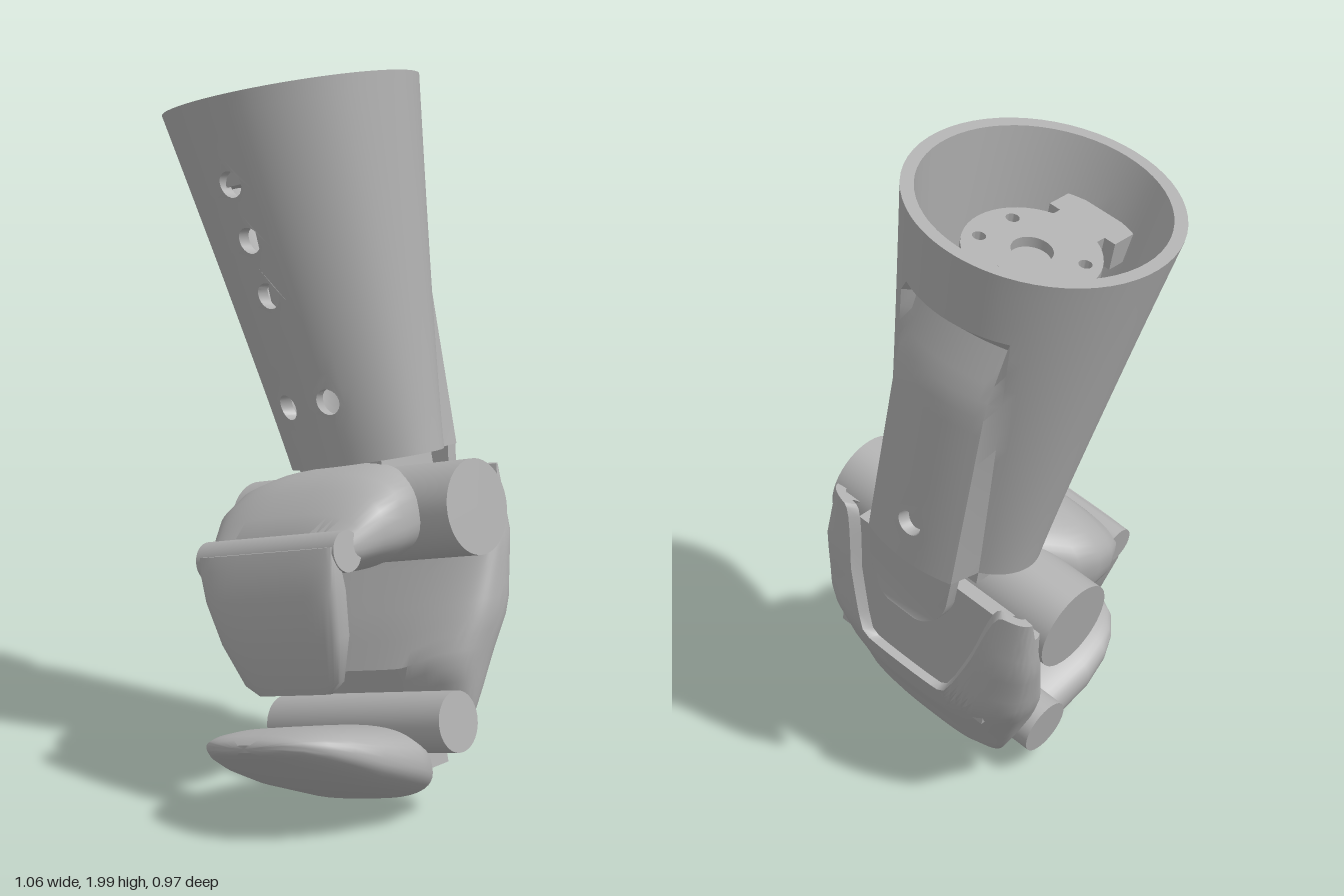
import * as THREE from 'three';
import { mergeGeometries, toCreasedNormals } from 'three/addons/utils/BufferGeometryUtils.js';

const grey = new THREE.MeshStandardMaterial({ color: 0xb0b0b0, side: THREE.DoubleSide });
grey.name = 'light grey plastic';

const TAU = Math.PI * 2;

// Surface from a rule point(row, column); cells can be skipped to leave windows
function grid(rows, cols, point, skip = () => false) {
  const pos = [], idx = [];
  for (let i = 0; i <= rows; i++) for (let j = 0; j <= cols; j++) pos.push(...point(i, j));
  for (let i = 0; i < rows; i++) for (let j = 0; j < cols; j++) {
    if (skip(i, j)) continue;
    const a = i * (cols + 1) + j, b = a + cols + 1;
    idx.push(a, b, a + 1, b, b + 1, a + 1);
  }
  const g = new THREE.BufferGeometry();
  g.setAttribute('position', new THREE.Float32BufferAttribute(pos, 3));
  g.setIndex(idx);
  return g.toNonIndexed();
}

function part(group, name, geometry, crease = 0.6) {
  const mesh = new THREE.Mesh(crease ? toCreasedNormals(geometry, crease) : geometry, grey);
  mesh.name = name;
  group.add(mesh);
  return mesh;
}

// Superellipse outline value
const se = (c, n) => Math.sign(c) * Math.pow(Math.abs(c), 2 / n);

// Solid through rounded sections [position, half width, low, high] along y or z
function loft(sections, axis, n, cx = 0) {
  const s = axis === 'z' ? [...sections].reverse() : sections;
  const rings = [[s[0][0], 0, ...Array(2).fill((s[0][2] + s[0][3]) / 2)], ...s];
  const e = s[s.length - 1];
  rings.push([e[0], 0, ...Array(2).fill((e[2] + e[3]) / 2)]);
  return grid(rings.length - 1, 48, (i, j) => {
    const [p, w, lo, hi] = rings[i], t = (j % 48) / 48 * TAU;
    const x = cx + w * se(Math.cos(t), n), q = (lo + hi) / 2 + (hi - lo) / 2 * se(Math.sin(t), n);
    return axis === 'z' ? [x, q, p] : [x, p, q];
  });
}

// Forearm sleeve: tapering oval wall with a flat pad, 12 columns wide, on the back
const H = 1.03, ROWS = 20, COLS = 64, WALL = 0.035, PAD = 6;
const radiusX = (v) => 0.24 + 0.12 * Math.pow(v / H, 1.15);
function sleevePoint(col, row, off) {
  const v = row * H / ROWS, t = v / H, rx = radiusX(v);
  const k = ((col + COLS) % COLS) - COLS / 2, n = Math.abs(k);
  const edge = Math.asin(0.15 / rx);
  const turn = n <= PAD ? n / PAD * edge : edge + (n - PAD) / (COLS / 2 - PAD) * (Math.PI - edge);
  const theta = Math.PI + Math.sign(k) * turn;
  const x = -(rx - off) * Math.sin(theta);
  let z = -0.2 + 0.075 * t + (0.175 + 0.185 * t - off) * Math.cos(theta);
  if (n <= PAD && v < 0.78) z = -0.445 + 0.25 * Math.max(0, v - 0.6) + 1.2 * x * x + off;
  return [x, v, z];
}

function sleeveGeometry() {
  // Screw holes as [column, row] centres
  const holes = [[0, 15.5], [0, 12.5], [0, 9.5], [3, 3.5], [-3, 3.5], [32, 2.5]];
  const skip = (i, j) => holes.some(([c, r]) => {
    const d = ((j + 0.5 - c + COLS * 1.5) % COLS) - COLS / 2;
    return Math.abs(d) < 2 && Math.abs(i + 0.5 - r) < 1.5;
  });
  const list = [
    grid(ROWS, COLS, (i, j) => sleevePoint(j, i, 0), skip),
    grid(ROWS, COLS, (i, j) => sleevePoint(j, ROWS - i, WALL), (i, j) => skip(ROWS - 1 - i, j)),
    grid(1, COLS, (i, j) => sleevePoint(j, ROWS, i * WALL)),
    grid(1, COLS, (i, j) => sleevePoint(j, 0, (1 - i) * WALL)),
  ];
  for (const [c, r] of holes) {
    const rRow = 0.036 * ROWS / H, rCol = 0.36 / radiusX(r * H / ROWS);
    // Window panel with a round hole, bent onto the wall
    const border = [];
    for (let k = -2; k < 2; k++) border.push([k, -1.5]);
    for (let k = -1.5; k < 1.5; k++) border.push([2, k]);
    for (let k = 2; k > -2; k--) border.push([k, 1.5]);
    for (let k = 1.5; k > -1.5; k--) border.push([-2, k]);
    const shape = new THREE.Shape(border.map(([a, b]) => new THREE.Vector2(a, b)));
    const hole = new THREE.Path();
    hole.absellipse(0, 0, rCol, rRow, 0, TAU, true);
    shape.holes.push(hole);
    for (const [off, sign] of [[0, -1], [WALL, 1]]) {
      const g = new THREE.ShapeGeometry(shape, 10).toNonIndexed();
      const p = g.attributes.position;
      for (let k = 0; k < p.count; k++)
        p.setXYZ(k, ...sleevePoint(c + sign * p.getX(k), r + p.getY(k), off));
      g.deleteAttribute('uv');
      g.deleteAttribute('normal');
      list.push(g);
    }
    list.push(grid(1, 20, (i, j) => sleevePoint(
      c + rCol * Math.cos(j / 20 * TAU), r + rRow * Math.sin(j / 20 * TAU), i * WALL)));
  }
  return mergeGeometries(list);
}

// Hollow palm shell with a wide notch in the back rim
function palmGeometry() {
  const S = [
    [-0.79, 0.17, -0.17, -0.12], [-0.76, 0.25, -0.19, -0.1], [-0.66, 0.29, -0.25, -0.07],
    [-0.57, 0.32, -0.31, -0.03], [-0.45, 0.36, -0.365, -0.08], [-0.25, 0.38, -0.375, -0.18],
    [-0.05, 0.36, -0.375, -0.23],
  ];
  const section = (v) => {
    let k = 0;
    while (k < S.length - 2 && v > S[k + 1][0]) k++;
    const f = (v - S[k][0]) / (S[k + 1][0] - S[k][0]);
    return S[k].map((a, m) => a + (S[k + 1][m] - a) * f);
  };
  const N = 16, M = 96;
  return grid(2 * N + 3, M, (i, j) => {
    const t = (j % M) / M * TAU, cx = se(Math.cos(t), 2.7), cz = se(Math.sin(t), 2.7);
    const side = THREE.MathUtils.smoothstep(Math.abs(cx) * 0.37, 0.14, 0.3);
    const rim = cz < 0 ? -0.46 + 0.4 * side : -0.2 + 0.08 * side;
    const inner = i > N + 1;
    const f = inner ? Math.max(0, 2 * N + 2 - i) / N : Math.max(0, i - 1) / N;
    const low = inner ? -0.52 : -0.79;
    const v = low + (rim - low) * f;
    const [, w, lo, hi] = section(v);
    const k = i === 0 || i === 2 * N + 3 ? 0 : 1, off = inner ? 0.03 : 0;
    return [k * (w - off) * cx, v, (lo + hi) / 2 + k * ((hi - lo) / 2 - off) * cz];
  });
}

function bar(group, name, r, half, x, y, z) {
  const g = new THREE.CylinderGeometry(r, r, half * 2, 40).rotateZ(Math.PI / 2);
  part(group, name, g).position.set(x, y, z);
}

function box(group, name, w, h, d, x, y, z) {
  part(group, name, new THREE.BoxGeometry(w, h, d), 0).position.set(x, y, z);
}

export function createModel() {
  const model = new THREE.Group();
  model.name = 'mechanicalHand';
  const arm = new THREE.Group();
  arm.name = 'tiltedArm';
  arm.position.set(0.04, 0.91, 0);
  arm.rotation.z = 0.2145;
  model.add(arm);

  part(arm, 'forearmSleeve', sleeveGeometry(), 0.5);

  // Rounded tongue continuing the back pad below the wrist
  const tongue = new THREE.Shape();
  tongue.moveTo(-0.15, 0.02);
  tongue.lineTo(-0.14, -0.1);
  tongue.quadraticCurveTo(-0.12, -0.2, -0.05, -0.21);
  tongue.lineTo(0.05, -0.21);
  tongue.quadraticCurveTo(0.12, -0.2, 0.14, -0.1);
  tongue.lineTo(0.15, 0.02);
  const tg = new THREE.ExtrudeGeometry(tongue, { depth: 0.035, bevelEnabled: false, curveSegments: 10 });
  const tp = tg.attributes.position;
  for (let k = 0; k < tp.count; k++)
    tp.setZ(k, tp.getZ(k) - 0.444 + 1.2 * tp.getX(k) ** 2 - 0.15 * Math.min(0, tp.getY(k)));
  part(arm, 'backTongue', tg);

  // Motor housing inside the sleeve with a drilled lid
  const floor = new THREE.CylinderGeometry(1, 1, 0.03, 48).scale(0.265, 1, 0.225);
  part(arm, 'sleeveFloor', floor).position.set(0, 0.45, -0.168);
  part(arm, 'motorHousing', new THREE.CylinderGeometry(0.175, 0.15, 0.39, 48)).position.set(0, 0.655, -0.135);
  const lid = new THREE.Shape().absarc(0, 0, 0.182, 0, TAU);
  const drill = (x, y, r) => lid.holes.push(new THREE.Path().absarc(x, y, r, 0, TAU, true));
  drill(0, 0, 0.055);
  for (const a of [90, 28, 152, -28, -152])
    drill(0.138 * Math.cos(a * Math.PI / 180), 0.138 * Math.sin(a * Math.PI / 180), 0.018);
  const lidGeo = new THREE.ExtrudeGeometry(lid, { depth: 0.03, bevelEnabled: false, curveSegments: 24 });
  part(arm, 'motorLid', lidGeo.rotateX(-Math.PI / 2)).position.set(0, 0.85, -0.135);
  box(arm, 'motorBracketStem', 0.15, 0.08, 0.1, 0, 0.835, 0.06);
  box(arm, 'motorBracket', 0.22, 0.08, 0.09, 0, 0.835, 0.11);

  // Wrist, knuckle and palm
  box(arm, 'wristNeck', 0.3, 0.12, 0.22, 0, -0.01, -0.19);
  bar(arm, 'knuckleBarrel', 0.13, 0.394, 0.012, -0.156, -0.14);
  part(arm, 'palmShell', palmGeometry(), 0.7);
  box(arm, 'palmCore', 0.54, 0.4, 0.11, 0, -0.32, -0.255);

  // Front finger: domed base, hinge and curved tip plate
  part(arm, 'upperFingerBase', loft([
    [-0.1, 0.22, -0.26, 0.0], [-0.01, 0.3, -0.275, 0.0], [0.07, 0.31, -0.28, -0.012],
    [0.14, 0.3, -0.275, -0.045], [0.2, 0.27, -0.27, -0.1], [0.25, 0.24, -0.25, -0.15],
  ], 'z', 2.8, 0.012), 0.8);
  bar(arm, 'upperFingerHinge', 0.055, 0.25, 0.018, -0.2, 0.25);
  part(arm, 'upperFingerTip', loft([
    [-0.57, 0.13, 0.255, 0.28], [-0.54, 0.17, 0.243, 0.293], [-0.42, 0.212, 0.23, 0.325],
    [-0.3, 0.235, 0.24, 0.337], [-0.22, 0.243, 0.262, 0.325], [-0.18, 0.24, 0.28, 0.312],
  ], 'y', 4, 0.022), 0.8);

  // Lower finger: hinge, link and rounded tip
  bar(arm, 'lowerFingerHinge', 0.083, 0.312, 0.01, -0.713, -0.02);
  box(arm, 'lowerFingerLink', 0.42, 0.1, 0.09, 0.01, -0.785, -0.03);
  part(arm, 'lowerFingerTip', loft([
    [-0.02, 0.17, -0.9, -0.8], [0.03, 0.235, -0.912, -0.73], [0.1, 0.268, -0.895, -0.69],
    [0.25, 0.268, -0.83, -0.66], [0.34, 0.25, -0.78, -0.643], [0.4, 0.22, -0.74, -0.638],
    [0.45, 0.175, -0.705, -0.638], [0.475, 0.125, -0.687, -0.643], [0.488, 0.06, -0.675, -0.655],
  ], 'z', 2.6, 0.014), 0.8);

  return model;
}
